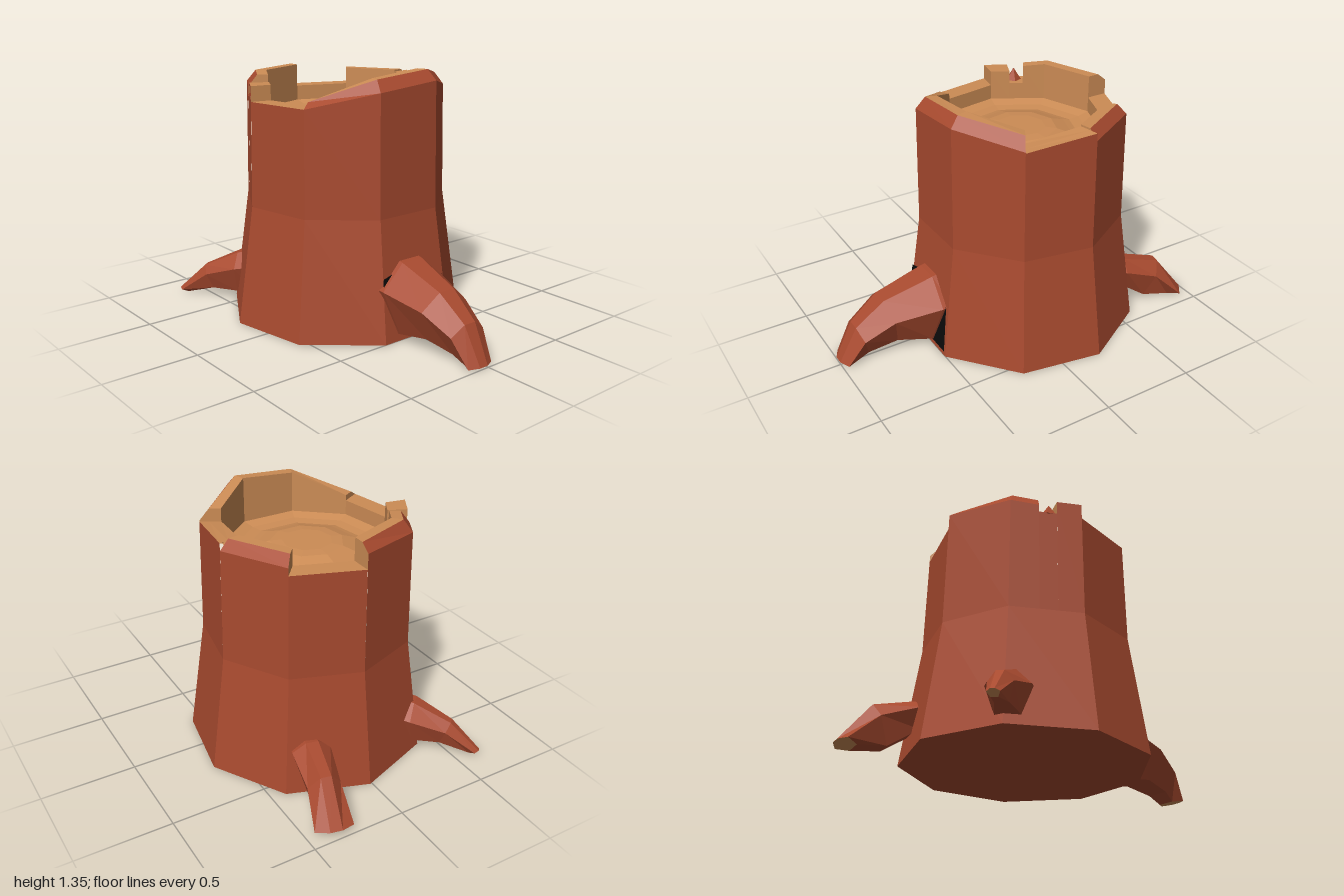
import * as THREE from 'three';

const bark = new THREE.MeshStandardMaterial({ color: 0xa84a2f });
bark.name = 'bark';
const wood = new THREE.MeshStandardMaterial({ color: 0xcc8c55 });
wood.name = 'cut wood';
const dark = new THREE.MeshStandardMaterial({ color: 0x0b0b0b });
dark.name = 'dark hollow';

const CX = 0.01, CZ = -0.1, STEP = 40;
const OUTER = 0.54, BEVEL = 0.49, INNER = 0.43, FLOOR = 1.1;

// Point on the nine-sided trunk; angles run from the back (-z) toward +x
function P(angle, r, y) {
  const corner = (k) => {
    const a = THREE.MathUtils.degToRad(k * STEP);
    return new THREE.Vector3(CX + Math.sin(a) * r, y, CZ - Math.cos(a) * r);
  };
  const k = Math.floor(angle / STEP);
  return corner(k).lerp(corner(k + 1), angle / STEP - k);
}

// Flat-faced mesh from a list of polygons (counter-clockwise, fan triangulated)
function polyMesh(name, polys, material) {
  const pos = [];
  for (const p of polys) {
    for (let i = 1; i < p.length - 1; i++) {
      for (const v of [p[0], p[i], p[i + 1]]) pos.push(v.x, v.y, v.z);
    }
  }
  const g = new THREE.BufferGeometry();
  g.setAttribute('position', new THREE.Float32BufferAttribute(pos, 3));
  g.computeVertexNormals();
  const mesh = new THREE.Mesh(g, material);
  mesh.name = name;
  return mesh;
}

// Side wall quad between two heights
const wall = (a0, a1, r0, y0, y1, r1, t0, t1) =>
  [P(a0, r0, y0), P(a0, r1, t0), P(a1, r1, t1), P(a1, r0, y1)];

function trunk() {
  const polys = [], bottom = [];
  for (let a = 0; a < 360; a += STEP) {
    polys.push(wall(a, a + STEP, 0.64, 0, 0, 0.55, 0.63, 0.63));
    bottom.push(P(a, 0.64, 0));
  }
  polys.push(bottom);
  return polyMesh('trunkFlare', polys, bark);
}

// Broken rim: start angle, end angle, outer heights, top heights
const RIM = [
  [0, 40, 1.18, 1.18, 1.18, 1.18],
  [40, 80, 1.22, 1.22, 1.27, 1.27],
  [80, 120, 1.26, 1.22, 1.26, 1.22],
  [120, 160, 1.225, 1.29, 1.29, 1.345],
  [160, 200, 1.29, 1.26, 1.345, 1.32],
  [200, 240, 1.26, 1.18, 1.32, 1.21],
  [240, 280, 1.18, 1.18, 1.18, 1.18],
  [280, 294, 1.26, 1.26, 1.26, 1.26],
  [294, 304, 1.19, 1.19, 1.19, 1.19],
  [304, 320, 1.23, 1.24, 1.29, 1.3],
  [320, 360, 1.24, 1.26, 1.3, 1.3],
];

function rim() {
  const group = new THREE.Group();
  group.name = 'brokenRim';
  const barkFaces = [], woodFaces = [];
  RIM.forEach(([a0, a1, o0, o1, t0, t1], i) => {
    barkFaces.push(wall(a0, a1, 0.55, 0.63, 0.63, OUTER, o0, o1));
    const beveled = t0 > o0;
    (beveled ? barkFaces : woodFaces).push(wall(a0, a1, OUTER, o0, o1, BEVEL, t0, t1));
    woodFaces.push(wall(a0, a1, BEVEL, t0, t1, INNER, t0, t1));
    woodFaces.push(wall(a0, a1, INNER, t0, t1, INNER, FLOOR, FLOOR));
    // Broken ends, only where the neighbour has another height
    const cap = (a, o, t) => [P(a, INNER, FLOOR), P(a, INNER, t), P(a, BEVEL, t), P(a, OUTER, o), P(a, OUTER, FLOOR)];
    const prev = RIM[(i + RIM.length - 1) % RIM.length], next = RIM[(i + 1) % RIM.length];
    if (prev[5] < t0) woodFaces.push(cap(a0, o0, t0));
    if (next[4] < t1) woodFaces.push(cap(a1, o1, t1).reverse());
  });
  group.add(polyMesh('rimBark', barkFaces, bark), polyMesh('rimWood', woodFaces, wood));
  return group;
}

// Gently stepped cut surface inside the rim
function cutTop() {
  const rings = [[INNER, FLOOR], [0.37, 1.085], [0.31, 1.08], [0.27, 1.09], [0.19, 1.115], [0.13, 1.12], [0, 1.12]];
  const polys = [];
  for (let i = 0; i < rings.length - 1; i++) {
    const [r0, y0] = rings[i], [r1, y1] = rings[i + 1];
    for (let a = 0; a < 360; a += STEP) polys.push(wall(a, a + STEP, r0, y0, y0, r1, y1, y1));
  }
  return polyMesh('cutTop', polys, wood);
}

// Six-sided root; sections: top distance, top y, bottom distance, bottom y, half width, side shift
function root(name, x, z, heading, sections) {
  const hex = [[-0.32, 1], [-1, 0.66], [-0.55, 0], [0.55, 0], [1, 0.66], [0.32, 1]];
  const rings = sections.map(([tf, ty, bf, by, hw, shift = 0]) => hex.map(([u, v]) =>
    new THREE.Vector3(shift + u * hw, by + (ty - by) * v, bf + (tf - bf) * v)));
  const polys = [];
  for (let i = 0; i < rings.length - 1; i++) {
    for (let k = 0; k < 6; k++) {
      const n = (k + 1) % 6;
      polys.push([rings[i][k], rings[i][n], rings[i + 1][n], rings[i + 1][k]]);
    }
  }
  const group = new THREE.Group();
  group.name = name;
  group.add(polyMesh('rootBark', polys, bark), polyMesh('rootTip', [rings[rings.length - 1]], wood));
  group.position.set(x, 0, z);
  group.rotation.y = heading;
  return group;
}

// Thin dark hollow lying on the sloped front face behind the front root
function hollow() {
  const outline = [[-0.2, 0.3], [-0.09, 0.15], [0, 0.03], [0.222, 0.03], [0.2, 0.28], [0.1, 0.33], [-0.12, 0.355], [-0.195, 0.335]];
  const pts = outline.map(([x, y]) => new THREE.Vector3(x, y, 0.508 - y * 0.134));
  return polyMesh('hollow', [pts], dark);
}

export function createModel() {
  const model = new THREE.Group();
  model.name = 'treeStump';
  model.add(trunk(), rim(), cutTop(), hollow());

  model.add(root('frontRoot', -0.01, 0, 0, [
    [0.42, 0.41, 0.45, 0.03, 0.205],
    [0.47, 0.4, 0.51, 0.04, 0.205],
    [0.74, 0.32, 0.69, 0.07, 0.15, -0.02],
    [0.9, 0.2, 0.85, 0.04, 0.11, -0.02],
    [1.0, 0.01, 0.92, 0.0, 0.08, -0.02],
  ]));
  model.add(root('backLeftRoot', 0.26, -0.5, Math.PI - 0.22, [
    [0.05, 0.29, 0.05, 0.14, 0.1],
    [0.12, 0.29, 0.09, 0.14, 0.1],
    [0.33, 0.235, 0.25, 0.03, 0.085],
    [0.49, 0.03, 0.4, 0.01, 0.1],
  ]));
  model.add(root('backRightRoot', -0.33, -0.48, Math.PI + 0.7, [
    [0, 0.29, 0, 0.06, 0.11],
    [0.1, 0.27, 0.1, 0.05, 0.11],
    [0.3, 0.18, 0.25, 0.05, 0.06],
    [0.46, 0.03, 0.41, 0.01, 0.03],
  ]));

  // Small bark splinter in the notch of the rim
  const cone = new THREE.ConeGeometry(0.045, 0.07, 5).toNonIndexed();
  cone.computeVertexNormals();
  const splinter = new THREE.Mesh(cone, bark);
  splinter.name = 'splinter';
  splinter.position.set(-0.41, 1.22, -0.32);
  model.add(splinter);
  return model;
}
